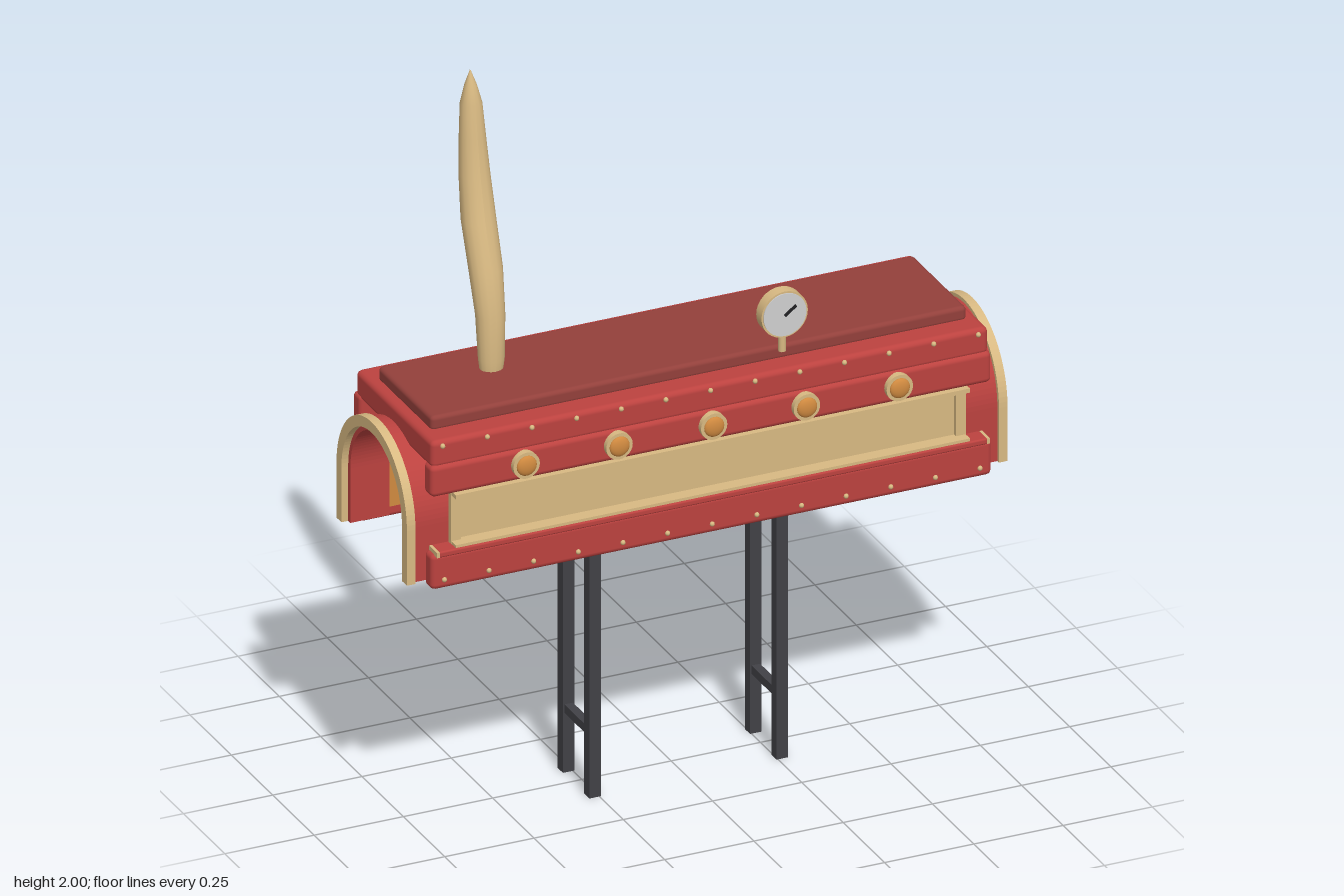
import * as THREE from 'three';
import { RoundedBoxGeometry } from 'three/addons/geometries/RoundedBoxGeometry.js';

const mat = (name, color) => Object.assign(new THREE.MeshStandardMaterial({ color }), { name });

export function createModel() {
  const red = mat('red enamel', 0xbc423f), lidRed = mat('dark red', 0x93403b);
  const tan = mat('tan', 0xd8b982), wood = mat('brown wood', 0xc2966c);
  const amber = mat('amber', 0xd08a40), iron = mat('dark iron', 0x414146);
  const steel = mat('pale steel', 0xcfcfd0), black = mat('black', 0x202022);
  const model = new THREE.Group();

  const add = (name, geo, material, x = 0, y = 0, z = 0, parent = model) => {
    const m = new THREE.Mesh(geo, material);
    m.name = name;
    m.position.set(x, y, z);
    parent.add(m);
    return m;
  };
  // box from its limits, with optional rounding
  const box = (name, material, [x0, x1], [y0, y1], [z0, z1], r = 0) => {
    const s = [x1 - x0, y1 - y0, z1 - z0];
    const g = r ? new RoundedBoxGeometry(...s, 2, r) : new THREE.BoxGeometry(...s);
    return add(name, g, material, (x0 + x1) / 2, (y0 + y1) / 2, (z0 + z1) / 2);
  };
  // cylinder with its axis along z
  const disc = (r0, r1, depth, n = 24) => new THREE.CylinderGeometry(r0, r1, depth, n).rotateX(Math.PI / 2);

  // hollow body: roof, back wall and front rails
  box('roof', red, [-0.78, 0.78], [1.1, 1.177], [-0.225, 0.237], 0.015);
  box('lid', lidRed, [-0.75, 0.75], [1.17, 1.212], [-0.155, 0.17], 0.012);
  box('backWall', red, [-0.785, 0.785], [0.757, 1.115], [-0.232, -0.187], 0.012);
  box('upperRail', red, [-0.785, 0.785], [1.022, 1.11], [0.195, 0.245], 0.014);
  box('lowerRail', red, [-0.785, 0.785], [0.76, 0.86], [0.2, 0.247], 0.014);
  box('railLedge', red, [-0.768, 0.768], [0.855, 0.872], [0.205, 0.257], 0.005);
  for (const s of [-1, 1]) {
    box('ledgeEnd', tan, [s * 0.77 - 0.004, s * 0.77 + 0.004], [0.856, 0.871], [0.206, 0.256]);
  }

  // long front panel with its frame
  box('frontPanel', tan, [-0.7, 0.7], [0.865, 1.025], [0.2, 0.215]);
  for (const s of [-1, 1]) {
    box('frameSide', tan, [s * 0.707 - 0.014, s * 0.707 + 0.014], [0.868, 1.02], [0.21, 0.226]);
  }
  box('frameTop', tan, [-0.72, 0.72], [1.01, 1.022], [0.213, 0.252]);
  box('frameBottom', tan, [-0.72, 0.72], [0.87, 0.88], [0.213, 0.252]);
  box('backLining', amber, [-0.72, 0.72], [0.79, 1.09], [-0.187, -0.18]);

  // arched tunnel mouths
  const arch = (outer, inner, depth) => {
    const s = new THREE.Shape();
    s.moveTo(outer, 0.775);
    s.lineTo(outer, 0.93);
    s.absarc(0, 0.93, outer, 0, Math.PI, false);
    s.lineTo(-outer, 0.775);
    s.lineTo(-inner, 0.775);
    s.lineTo(-inner, 0.93);
    s.absarc(0, 0.93, inner, Math.PI, 0, true);
    s.lineTo(inner, 0.775);
    return new THREE.ExtrudeGeometry(s, { depth, bevelEnabled: false, curveSegments: 24 })
      .translate(0, 0, -depth / 2).rotateY(Math.PI / 2);
  };
  for (const s of [-1, 1]) {
    add('tunnelMouth', arch(0.203, 0.17, 0.11), red, s * 0.767, 0, 0.005);
    add('tunnelRim', arch(0.213, 0.183, 0.024), tan, s * 0.829, 0, 0.005);
    // inner plank wall with narrow gaps
    for (let i = 0; i < 4; i++) {
      const y = 0.78 + i * 0.079;
      box('innerPlank', wood, [s * 0.3 - 0.008, s * 0.3 + 0.008], [y, y + 0.072], [-0.18, 0.19]);
    }
    box('plankTie', red, [s * 0.29 - 0.008, s * 0.29 + 0.008], [0.84, 0.87], [-0.18, 0.19]);
  }

  // lamps and rivets along the front
  for (const x of [-0.525, -0.265, 0, 0.26, 0.52]) {
    add('lampRing', disc(0.037, 0.037, 0.02), tan, x, 1.069, 0.25);
    const dome = new THREE.SphereGeometry(0.028, 20, 8, 0, Math.PI * 2, 0, Math.PI / 2)
      .rotateX(Math.PI / 2).scale(1, 1, 0.4);
    add('lampDome', dome, amber, x, 1.069, 0.26);
  }
  const rivet = new THREE.SphereGeometry(0.007, 8, 6);
  for (let i = 0; i < 13; i++) {
    const x = -0.75 + i * 0.125;
    add('upperRivet', rivet, tan, x, 1.162, 0.238);
    add('lowerRivet', rivet, tan, x, 0.787, 0.248);
  }

  // curved horn-shaped stack: rings of [y, z, radius x, radius z]
  const rings = [[1.2, -0.025, 0.03, 0.027], [1.24, -0.025, 0.035, 0.031], [1.36, -0.032, 0.039, 0.036],
    [1.48, -0.06, 0.045, 0.041], [1.6, -0.103, 0.046, 0.043], [1.72, -0.128, 0.041, 0.038],
    [1.82, -0.14, 0.035, 0.033], [1.91, -0.148, 0.029, 0.028], [1.96, -0.151, 0.016, 0.016], [2, -0.153, 0.001, 0.001]];
  const sides = 16;
  const horn = new THREE.CylinderGeometry(1, 1, 1, sides, rings.length - 1, true);
  const p = horn.attributes.position;
  for (let i = 0; i < p.count; i++) {
    const [y, z, rx, rz] = rings[rings.length - 1 - Math.floor(i / (sides + 1))];
    p.setXYZ(i, -0.492 + p.getX(i) * rx, y, z + p.getZ(i) * rz);
  }
  horn.computeVertexNormals();
  add('curvedStack', horn, tan);

  // pressure gauge on the lid
  const gauge = new THREE.Group();
  gauge.name = 'gauge';
  gauge.position.set(0.228, 1.31, 0.178);
  model.add(gauge);
  add('gaugeStem', new THREE.CylinderGeometry(0.01, 0.01, 0.07, 12), tan, 0, -0.075, 0, gauge);
  add('gaugeCase', disc(0.065, 0.065, 0.032, 32), tan, 0, 0, 0, gauge);
  add('gaugeFace', disc(0.06, 0.06, 0.004, 32), steel, 0, 0, 0.017, gauge);
  const needle = add('gaugeNeedle', new THREE.BoxGeometry(0.04, 0.007, 0.004), black, 0.014, 0.01, 0.021, gauge);
  needle.rotation.z = 0.65;

  // hand wheel on the back wall
  const wheel = new THREE.Group();
  wheel.name = 'handWheel';
  wheel.position.set(0.585, 0.938, -0.256);
  model.add(wheel);
  add('wheelRim', new THREE.TorusGeometry(0.076, 0.01, 8, 32), red, 0, 0, 0, wheel);
  add('wheelHub', disc(0.018, 0.018, 0.045, 16), red, 0, 0, 0.008, wheel);
  for (let i = 0; i < 8; i++) {
    const a = i * Math.PI / 4;
    const spoke = add('wheelSpoke', new THREE.BoxGeometry(0.066, 0.014, 0.008), iron,
      Math.cos(a) * 0.04, Math.sin(a) * 0.04, 0, wheel);
    spoke.rotation.z = a;
  }

  // conveyor bed under the body
  for (const z of [-0.065, 0.08]) {
    box('bedRail', red, [-0.325, 0.325], [0.722, 0.77], [z - 0.008, z + 0.008], 0.004);
  }
  box('bedPlate', iron, [-0.3, 0.3], [0.75, 0.765], [-0.06, 0.075]);
  for (const s of [-1, 1]) {
    add('endRoller', disc(0.02, 0.02, 0.175, 20), steel, s * 0.315, 0.757, 0.008);
  }
  for (let i = 0; i < 9; i++) {
    const x = -0.24 + i * 0.06;
    add('railRivet', rivet, tan, x, 0.745, 0.088);
    for (const z of [-0.03, 0.045]) {
      add('bedStud', new THREE.CylinderGeometry(0.013, 0.013, 0.008, 12), steel, x, 0.747, z);
    }
  }

  // legs and cross bars
  for (const x of [-0.262, 0.262]) {
    for (const z of [-0.07, 0.09]) {
      box('leg', iron, [x - 0.016, x + 0.016], [0, 0.757], [z - 0.016, z + 0.016]);
    }
    box('legCrossBar', iron, [x - 0.012, x + 0.012], [0.17, 0.194], [-0.07, 0.09]);
  }
  return model;
}
